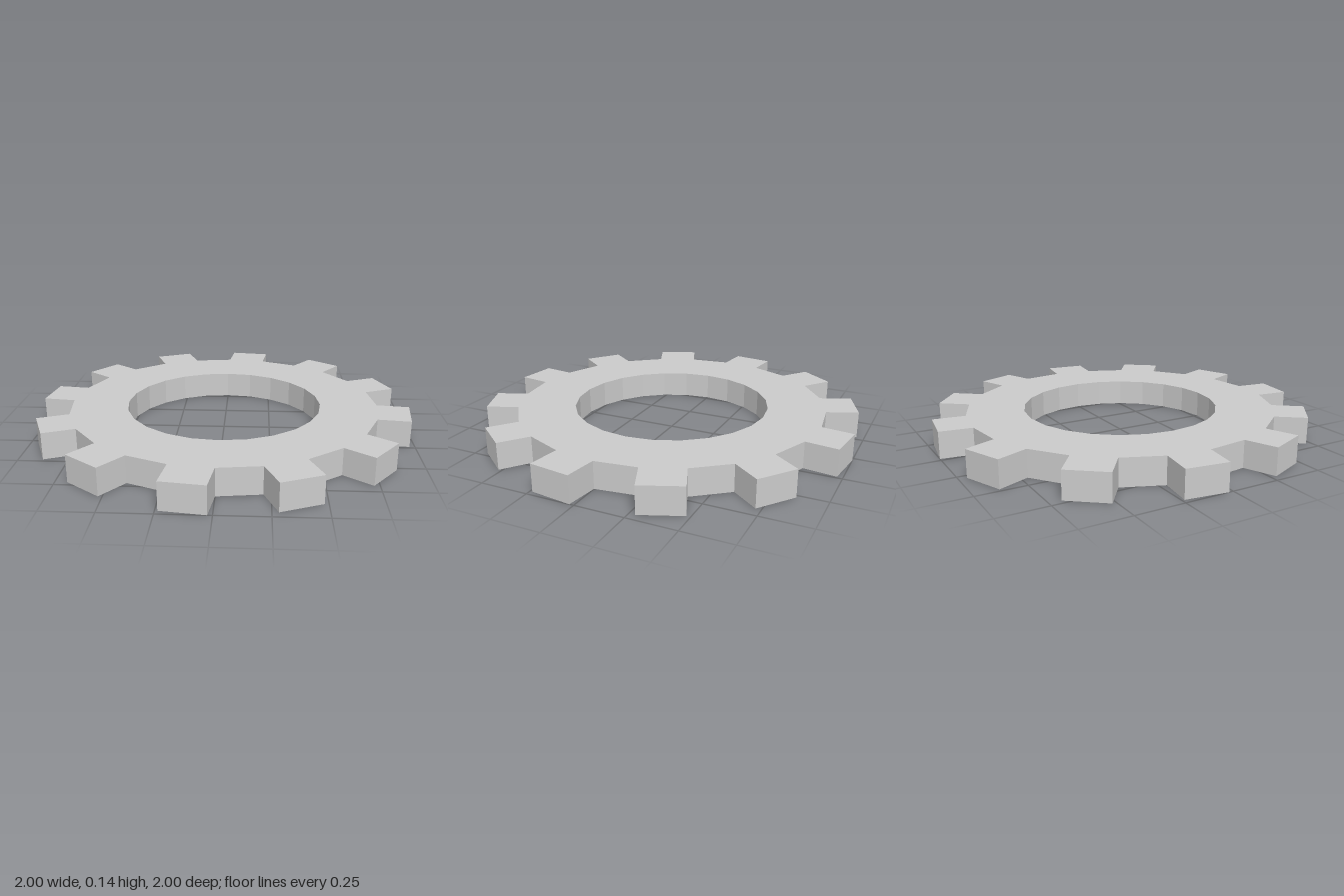
import * as THREE from 'three';

const SIDES = 24;         // body and hole are 24-sided; a tooth on every other side
const ROOT_RADIUS = 0.83;
const HOLE_RADIUS = 0.523;
const TOOTH_LENGTH = 0.1715;
const THICKNESS = 0.14;
const STEP = (Math.PI * 2) / SIDES;

const polar = (radius, angle) =>
  new THREE.Vector2(Math.cos(angle) * radius, Math.sin(angle) * radius);

export function createModel() {
  // Outline: push every other side straight out to make a square tooth
  const outline = [];
  for (let i = 0; i < SIDES; i += 2) {
    const start = polar(ROOT_RADIUS, i * STEP);
    const end = polar(ROOT_RADIUS, (i + 1) * STEP);
    const out = polar(TOOTH_LENGTH, (i + 0.5) * STEP);
    outline.push(start, start.clone().add(out), end.clone().add(out), end);
  }
  const shape = new THREE.Shape(outline);

  // Central hole
  const hole = [];
  for (let i = 0; i < SIDES; i++) hole.push(polar(HOLE_RADIUS, i * STEP));
  shape.holes.push(new THREE.Path(hole));

  // Lay the ring flat with its underside on the ground
  const geometry = new THREE.ExtrudeGeometry(shape, { depth: THICKNESS, bevelEnabled: false });
  geometry.rotateX(Math.PI / 2).translate(0, THICKNESS, 0);

  const gear = new THREE.Mesh(
    geometry,
    new THREE.MeshStandardMaterial({ color: 0xcccccc, flatShading: true })
  );
  gear.name = 'gearRing';

  const group = new THREE.Group();
  group.name = 'gear';
  group.add(gear);
  return group;
}
